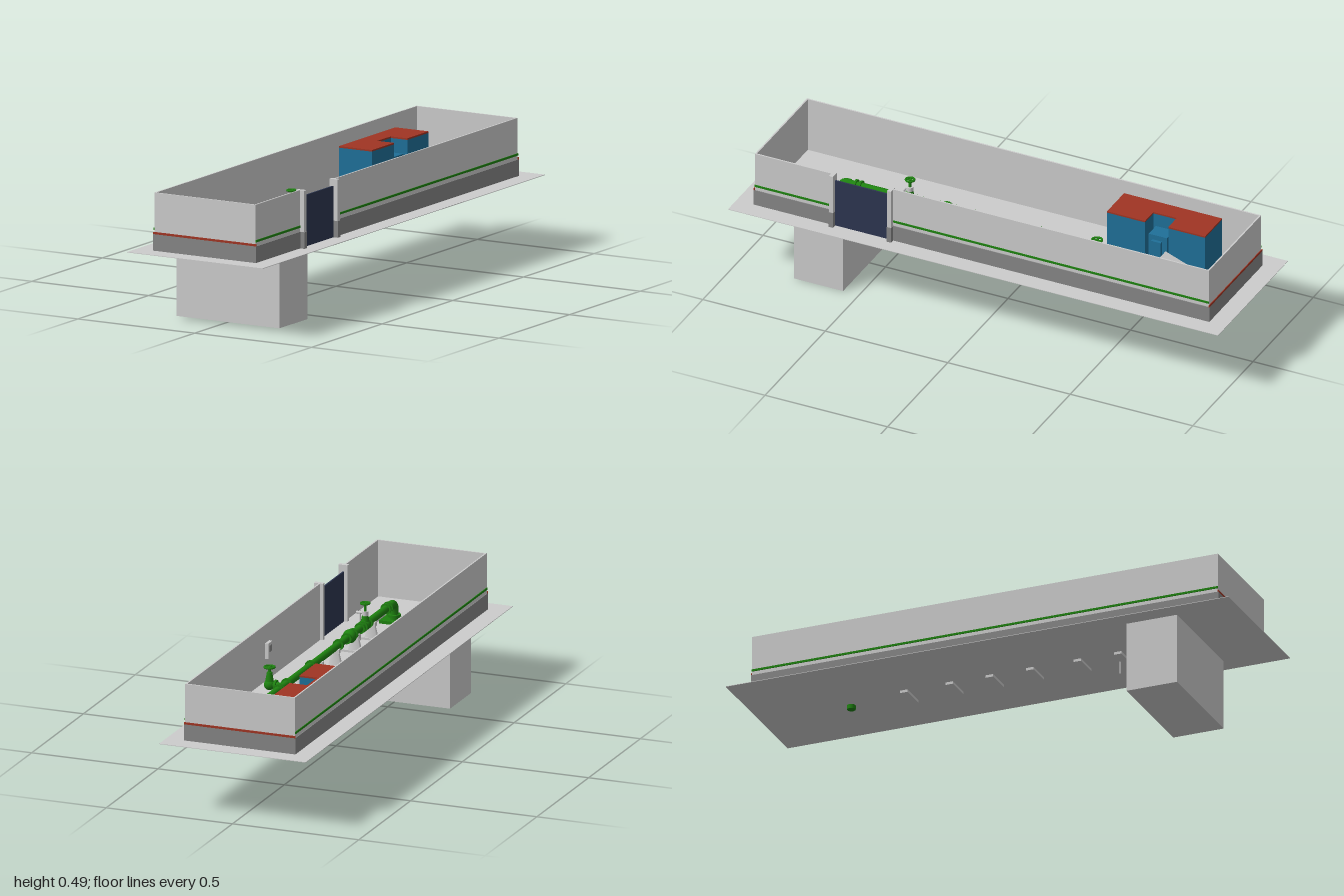
import * as THREE from 'three';

const mat = (name, color) => {
  const m = new THREE.MeshStandardMaterial({ color });
  m.name = name;
  return m;
};

export function createModel() {
  const concrete = mat('light concrete', 0xcccccc);
  const plinth = mat('dark plinth grey', 0x868686);
  const red = mat('roof red', 0xa03523);
  const blue = mat('cabin blue', 0x1f7099);
  const navy = mat('gate navy', 0x2d3650);
  const green = mat('pipe green', 0x1e8210);
  const model = new THREE.Group();
  const G = 0.273;          // ground level
  const PX = 0.04, PY = 0.348; // pipe axis

  const add = (name, geo, material, x = 0, y = 0, z = 0, parent = model) => {
    const m = new THREE.Mesh(geo, material);
    m.name = name;
    m.position.set(x, y, z);
    parent.add(m);
    return m;
  };
  // box given by its limits
  const box = (name, material, x0, x1, y0, y1, z0, z1) =>
    add(name, new THREE.BoxGeometry(x1 - x0, y1 - y0, z1 - z0), material,
      (x0 + x1) / 2, (y0 + y1) / 2, (z0 + z1) / 2);
  // cylinder along a chosen axis
  const cyl = (name, material, r, len, axis, x, y, z, sides = 20) => {
    const g = new THREE.CylinderGeometry(r, r, len, sides);
    if (axis === 'z') g.rotateX(Math.PI / 2);
    if (axis === 'x') g.rotateZ(Math.PI / 2);
    return add(name, g, material, x, y, z);
  };

  // ground slab and pit below it
  box('groundSlab', concrete, -0.29, 0.29, G - 0.002, G, -1, 1);
  box('pit', concrete, -0.22, 0.22, 0, G - 0.002, 0.565, 0.765);

  // perimeter walls with plinth and painted line on the outside
  const T = 0.49, W = 0.217, Z0 = -0.927, Z1 = 0.927, t = 0.006;
  const bands = [[plinth, G, 0.335, 'plinth'], [red, 0.335, 0.343, 'redLine'], [green, 0.35, 0.358, 'greenLine']];
  for (const s of [1, -1]) {
    const z = s * Z1;
    box('endWall', concrete, -W, W, G, T, Math.min(z, z - s * t), Math.max(z, z - s * t));
    for (const [m, y0, y1, n] of bands) {
      if (m === green) continue;
      box(n, m, -W - 0.003, W + 0.003, y0, y1, Math.min(z, z + s * 0.003), Math.max(z, z + s * 0.003));
    }
  }
  for (const [s, z0, z1] of [[-1, Z0, Z1], [1, Z0, 0.37], [1, 0.61, Z1]]) {
    const x = s * W;
    box('sideWall', concrete, Math.min(x, x - s * t), Math.max(x, x - s * t), G, T, z0, z1);
    for (const [m, y0, y1, n] of bands) {
      if (m === red) continue;
      box(n, m, Math.min(x, x + s * 0.003), Math.max(x, x + s * 0.003), y0, y1, z0, z1);
    }
  }

  // gate with two posts
  box('gate', navy, 0.213, 0.219, G, 0.465, 0.38, 0.6);
  for (const z of [0.37, 0.607]) {
    box('gatePost', concrete, 0.2, 0.236, G, T, z - 0.008, z + 0.008);
    box('postPlinth', plinth, 0.219, 0.238, G, 0.335, z - 0.0095, z + 0.0095);
  }

  // wall box on the inner side
  box('wallBox', concrete, 0.198, 0.212, 0.36, 0.42, -0.17, -0.13);
  box('wallBoxPanel', plinth, 0.196, 0.198, 0.385, 0.41, -0.162, -0.138);

  // cabin with a notch in its front side
  const plan = new THREE.Shape([
    [-0.211, 0.37], [-0.07, 0.37], [-0.07, 0.525], [-0.14, 0.525],
    [-0.14, 0.62], [-0.07, 0.62], [-0.07, 0.77], [-0.211, 0.77],
  ].map(([x, y]) => new THREE.Vector2(x, y)));
  const slab = (depth) => new THREE.ExtrudeGeometry(plan, { depth, bevelEnabled: false }).rotateX(-Math.PI / 2);
  add('cabinWalls', slab(0.158), blue, 0, G, 0);
  add('cabinRoof', slab(0.006), red, 0, G + 0.158, 0);
  box('notchCabinet', blue, -0.14, -0.08, G, 0.38, -0.61, -0.535);
  box('cabinetDoor', blue, -0.08, -0.068, G, 0.36, -0.59, -0.55);

  // main pipe with collars
  cyl('mainPipe', green, 0.014, 1.27, 'z', PX, PY, 0.005);
  for (const z of [-0.46, -0.445, -0.38, -0.15, 0.12, 0.2, 0.26, 0.33, 0.355, 0.405, 0.58, 0.6])
    cyl('flange', green, 0.021, 0.008, 'z', PX, PY, z);
  add('checkValve', new THREE.SphereGeometry(0.026, 20, 14), green, PX, PY, 0.23);

  // elbows at both ends turning down
  for (const [z, s, bottom] of [[0.64, 1, 0.27], [-0.62, -1, 0.257]]) {
    const path = new THREE.CatmullRomCurve3([
      [PX, PY, z - s * 0.02], [PX, PY, z], [PX, PY - 0.008, z + s * 0.014],
      [PX, PY - 0.025, z + s * 0.02], [PX, bottom, z + s * 0.02],
    ].map((p) => new THREE.Vector3(...p)));
    add('elbow', new THREE.TubeGeometry(path, 20, 0.016, 14), green);
  }
  cyl('elbowCap', green, 0.016, 0.02, 'y', PX, 0.265, -0.64);
  cyl('suctionEnd', green, 0.012, 0.004, 'y', PX, 0.0025, 0.66);
  cyl('elbowFlange', green, 0.024, 0.01, 'y', PX, 0.3, 0.66);

  // pipe supports
  for (const z of [-0.41, -0.23, -0.07, 0.09, 0.28, 0.44]) {
    box('supportPad', concrete, PX - 0.05, PX + 0.05, 0.261, 0.281, z - 0.015, z + 0.015);
    const leg = new THREE.CylinderGeometry(0.016, 0.034, PY - 0.29, 4, 1).rotateY(Math.PI / 4);
    leg.scale(1, 1, 0.45);
    add('supportLeg', leg, concrete, PX, (PY + 0.27) / 2, z);
    box('supportSaddle', concrete, PX - 0.018, PX + 0.018, PY - 0.022, PY - 0.006, z - 0.008, z + 0.008);
  }

  // valve with a handwheel on an upright stem
  const valve = (name, x, z, wheelY, r) => {
    const g = new THREE.Group();
    g.name = name;
    g.position.set(x, 0, z);
    model.add(g);
    add('valveBody', new THREE.SphereGeometry(0.021, 16, 12), green, 0, PY, 0, g);
    add('bonnet', new THREE.CylinderGeometry(0.01, 0.016, 0.035, 14), green, 0, PY + 0.03, 0, g);
    add('stem', new THREE.CylinderGeometry(0.005, 0.005, wheelY - PY, 10), green, 0, (wheelY + PY) / 2, 0, g);
    add('handwheel', new THREE.TorusGeometry(r, 0.004, 8, 20).rotateX(Math.PI / 2), green, 0, wheelY, 0, g);
    for (const a of [0, Math.PI / 2])
      add('spoke', new THREE.BoxGeometry(r * 2, 0.004, 0.005), green, 0, wheelY, 0, g).rotation.y = a;
  };
  cyl('branch', green, 0.012, 0.055, 'x', 0.068, PY, -0.41);
  cyl('branchFlange', green, 0.02, 0.008, 'x', 0.07, PY, -0.41);
  valve('branchValve', 0.095, -0.41, 0.415, 0.019);
  valve('lineValve', PX, 0.38, 0.43, 0.016);

  // drain tap with its outlet passing through the slab
  cyl('tapBody', concrete, 0.012, 0.05, 'y', PX, 0.375, 0.38);
  cyl('tapArm', concrete, 0.005, 0.045, 'x', 0.06, 0.385, 0.4);
  cyl('drainRod', concrete, 0.003, 0.165, 'y', 0.075, 0.305, 0.415, 8);

  // intake cover between two low rails
  box('intakeCover', green, -0.003, 0.086, G, 0.285, 0.625, 0.7);
  for (const x of [-0.027, 0.112])
    box('intakeRail', concrete, x - 0.014, x + 0.014, G, 0.3, 0.605, 0.712);

  // thrust block: sloping sides, rear half of the top falls away
  const block = new THREE.BoxGeometry(0.12, 0.1, 0.11);
  const p = block.attributes.position;
  for (let i = 0; i < p.count; i++) {
    if (p.getY(i) < 0) continue;
    p.setX(i, p.getX(i) * 0.78);
    if (p.getZ(i) < 0) p.setXYZ(i, p.getX(i), 0.015, -0.048);
    else p.setZ(i, 0.045);
  }
  block.computeVertexNormals();
  add('thrustBlock', block, concrete, PX, G + 0.05, -0.685);

  return model;
}
